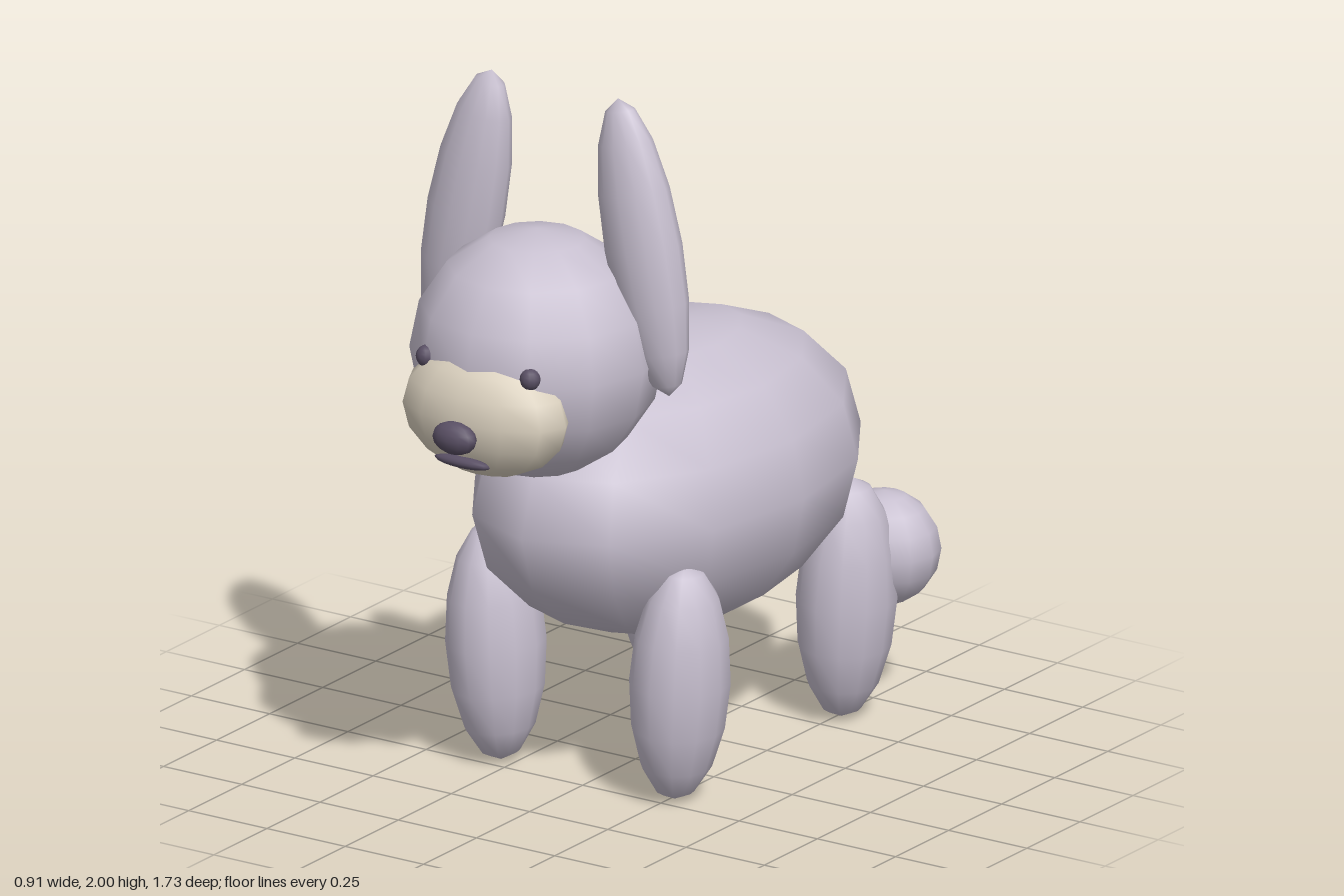
import * as THREE from 'three';

const CX = -0.017; // the animal's symmetry plane

function material(name, color) {
  const m = new THREE.MeshStandardMaterial({ color });
  m.name = name;
  return m;
}

export function createModel() {
  const model = new THREE.Group();
  model.name = 'plushAnimal';

  const fur = material('lavenderFur', 0xc8c0d0);
  const cream = material('creamMuzzle', 0xdcd2c0);
  const dark = material('darkFeatures', 0x5a5065);

  // Every part is a stretched, smooth, coarse sphere
  const ball = new THREE.SphereGeometry(1, 12, 8);
  function blob(name, mat, [x, y, z], radii, tilt = 0) {
    const mesh = new THREE.Mesh(ball, mat);
    mesh.name = name;
    mesh.position.set(CX + x, y, z);
    mesh.scale.set(...radii);
    mesh.rotation.z = tilt;
    model.add(mesh);
  }

  // Body, head and tail (the tail sits off to the left)
  blob('body', fur, [0, 0.765, -0.17], [0.439, 0.415, 0.683]);
  blob('head', fur, [0, 1.28, 0.44], [0.34, 0.34, 0.335]);
  blob('tail', fur, [0.32, 0.447, -0.725], [0.155, 0.157, 0.142]);

  // Face
  blob('muzzle', cream, [0, 1.18, 0.678], [0.254, 0.177, 0.142]);
  blob('nose', dark, [0, 1.145, 0.828], [0.067, 0.045, 0.038]);
  blob('mouth', dark, [0, 1.067, 0.792], [0.089, 0.016, 0.02]);

  // Mirrored pairs
  for (const [side, label] of [[1, 'left'], [-1, 'right']]) {
    blob(label + 'Eye', dark, [side * 0.166, 1.31, 0.717], [0.028, 0.03, 0.028]);
    blob(label + 'Ear', fur, [side * 0.283, 1.598, 0.355], [0.113, 0.41, 0.083], side * 0.2);
    blob(label + 'FrontLeg', fur, [side * 0.294, 0.336, 0.2], [0.131, 0.334, 0.145], side * -0.05);
    blob(label + 'BackLeg', fur, [side * 0.294, 0.341, -0.585], [0.131, 0.339, 0.145], side * -0.05);
  }

  return model;
}
